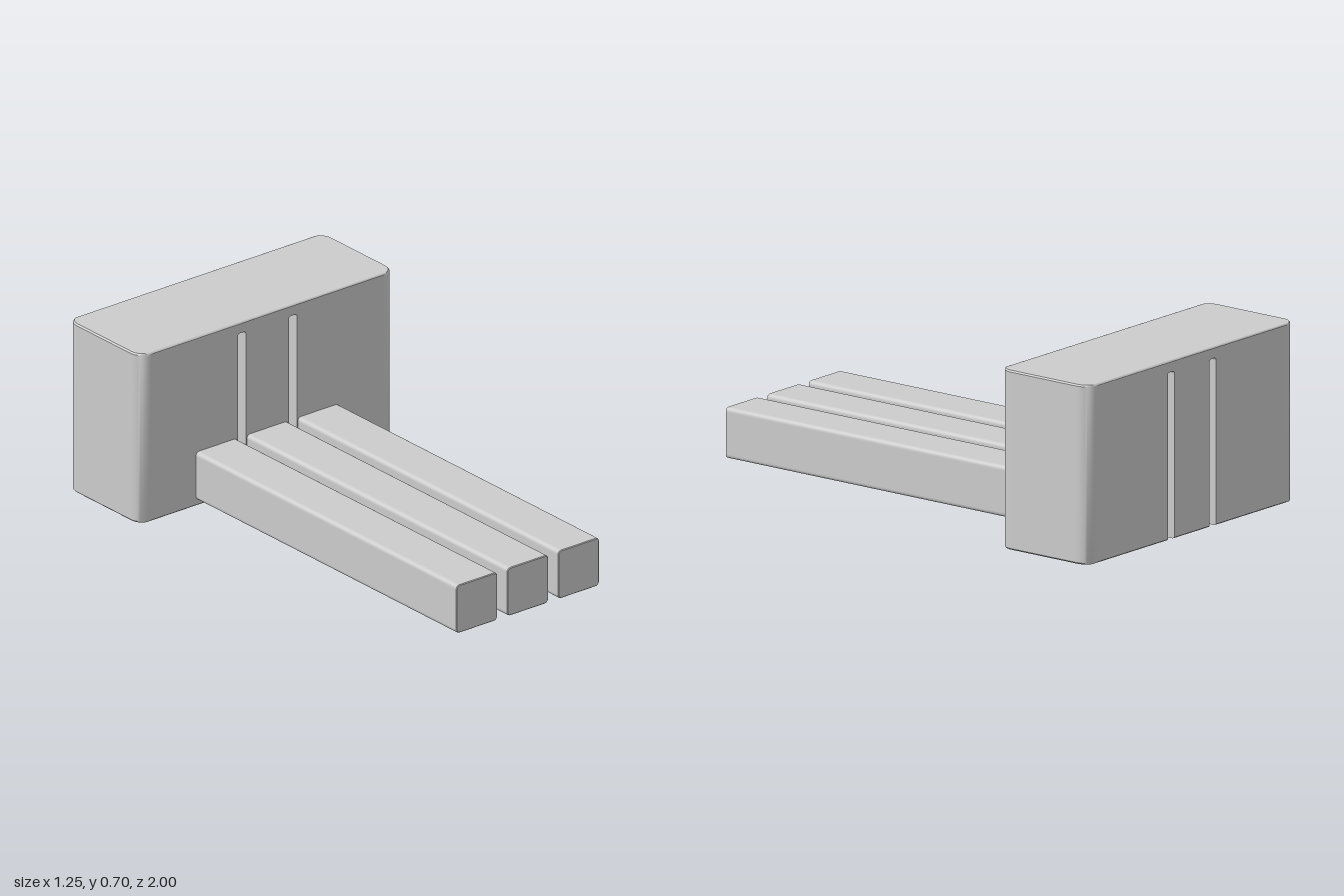
import * as THREE from 'three';
import { toCreasedNormals } from 'three/addons/utils/BufferGeometryUtils.js';

// Smooth the rounded edges but keep axis-aligned faces perfectly flat
function softenEdges(geometry) {
  const flat = geometry.index ? geometry.toNonIndexed() : geometry;
  flat.computeVertexNormals();
  const faceNormals = flat.attributes.normal.clone();
  const result = toCreasedNormals(flat, 0.6);
  const n = new THREE.Vector3();
  for (let i = 0; i < faceNormals.count; i++) {
    n.fromBufferAttribute(faceNormals, i);
    if (Math.max(Math.abs(n.x), Math.abs(n.y), Math.abs(n.z)) > 0.9995) {
      result.attributes.normal.setXYZ(i, n.x, n.y, n.z);
    }
  }
  return result;
}

// Block with two slots open at the bottom and rounded vertical corners
function slottedBlock() {
  const W = 0.625, H = 0.705, FRONT = -0.565, BACK = -1;
  const R = 0.055, BEVEL = 0.006, N = 8;
  const slotIn = 0.105, slotOut = 0.145, slotTop = 0.66, r = 0.012;

  const s = new THREE.Shape();
  s.moveTo(-W + BEVEL, 0);
  for (const [a, b] of [[-slotOut, -slotIn], [slotIn, slotOut]]) {
    s.lineTo(a, 0);
    s.lineTo(a, slotTop - r);
    s.quadraticCurveTo(a, slotTop, a + r, slotTop);
    s.lineTo(b - r, slotTop);
    s.quadraticCurveTo(b, slotTop, b, slotTop - r);
    s.lineTo(b, 0);
  }
  s.lineTo(W - BEVEL, 0);
  s.lineTo(W, BEVEL);
  s.lineTo(W, H - BEVEL);
  s.lineTo(W - BEVEL, H);
  s.lineTo(-W + BEVEL, H);
  s.lineTo(-W, H - BEVEL);
  s.lineTo(-W, BEVEL);
  s.closePath();

  const steps = 2 * N + 1;
  const g = new THREE.ExtrudeGeometry(s, { depth: 1, steps, bevelEnabled: false, curveSegments: 4 });
  const p = g.attributes.position;
  // Respace the slices along z and draw the outer edges in along an arc
  for (let i = 0; i < p.count; i++) {
    const step = Math.round(p.getZ(i) * steps);
    const angle = (Math.min(step, steps - step) / N) * Math.PI / 2;
    const d = R * (1 - Math.cos(angle));
    const inset = R * (1 - Math.sin(angle));
    const yInset = Math.max(0, BEVEL - d);
    const x = p.getX(i), y = p.getY(i);
    if (Math.abs(x) > 0.6) p.setX(i, x - Math.sign(x) * inset);
    if (y > 0.69) p.setY(i, y - yInset);
    if (y < 0.01) p.setY(i, y + yInset);
    p.setZ(i, step <= N ? BACK + d : FRONT - d);
  }
  return softenEdges(g);
}

// Long square bar with softened edges
function barGeometry() {
  const h = 0.1, r = 0.014, bevel = 0.003, back = -0.57;
  const k = h - bevel;
  const s = new THREE.Shape();
  s.moveTo(-k + r, -k);
  s.lineTo(k - r, -k);
  s.quadraticCurveTo(k, -k, k, -k + r);
  s.lineTo(k, k - r);
  s.quadraticCurveTo(k, k, k - r, k);
  s.lineTo(-k + r, k);
  s.quadraticCurveTo(-k, k, -k, k - r);
  s.lineTo(-k, -k + r);
  s.quadraticCurveTo(-k, -k, -k + r, -k);
  const g = new THREE.ExtrudeGeometry(s, {
    depth: 1 - back - 2 * bevel, curveSegments: 5,
    bevelSize: bevel, bevelThickness: bevel, bevelSegments: 1,
  });
  g.translate(0, 0, back + bevel);
  return softenEdges(g);
}

export function createModel() {
  const group = new THREE.Group();
  const grey = new THREE.MeshStandardMaterial({ color: 0xcccccc });
  grey.name = 'light grey';

  const add = (name, geometry, x, y) => {
    const mesh = new THREE.Mesh(geometry, grey);
    mesh.name = name;
    mesh.position.set(x, y, 0);
    group.add(mesh);
  };

  add('slottedBlock', slottedBlock(), 0, 0);

  // Three parallel bars reaching forward
  const bar = barGeometry();
  ['rightBar', 'middleBar', 'leftBar'].forEach((name, i) => add(name, bar, (i - 1) * 0.249, 0.126));

  return group;
}
